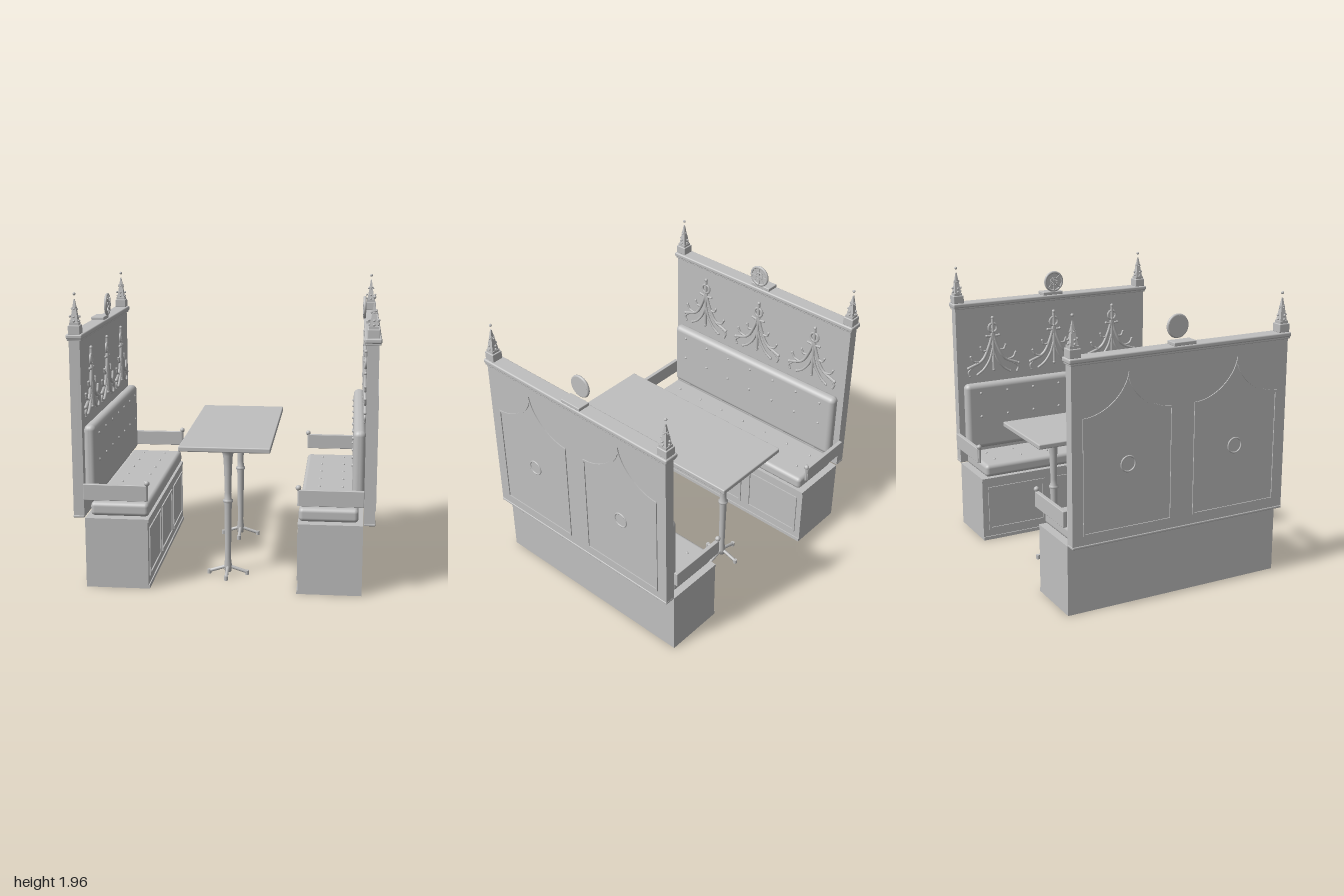
import * as THREE from 'three';
import { RoundedBoxGeometry } from 'three/addons/geometries/RoundedBoxGeometry.js';

const grey = new THREE.MeshStandardMaterial({ color: 0xc0c0c0 });
grey.name = 'plain grey';

function add(parent, name, geometry, x = 0, y = 0, z = 0) {
  const mesh = new THREE.Mesh(geometry, grey);
  mesh.name = name;
  mesh.position.set(x, y, z);
  parent.add(mesh);
  return mesh;
}

// Boxes given by their limits on each axis
function box(parent, name, x0, x1, y0, y1, z0, z1, radius = 0) {
  const size = [x1 - x0, y1 - y0, z1 - z0];
  const g = radius ? new RoundedBoxGeometry(...size, 4, radius) : new THREE.BoxGeometry(...size);
  return add(parent, name, g, (x0 + x1) / 2, (y0 + y1) / 2, (z0 + z1) / 2);
}

// Flat shape drawn in (z, y), extruded along +x
function plate(parent, name, shape, depth, x, y, z) {
  const g = new THREE.ExtrudeGeometry(shape, { depth, bevelEnabled: false, curveSegments: 16 });
  return add(parent, name, g.rotateY(Math.PI / 2), x, y, z);
}

// Carved strand through (z, y) points
function strand(parent, name, points, radius, x) {
  const curve = new THREE.CatmullRomCurve3(points.map(([z, y]) => new THREE.Vector3(x, y, z)));
  add(parent, name, new THREE.TubeGeometry(curve, 20, radius, 6));
  for (const p of [points[0], points[points.length - 1]]) {
    add(parent, name + 'End', new THREE.SphereGeometry(radius * 1.15, 8, 6), x, p[1], p[0]);
  }
}

function rectangle(w, h, path = new THREE.Shape()) {
  path.moveTo(-w, -h).lineTo(w, -h).lineTo(w, h).lineTo(-w, h).closePath();
  return path;
}

// Ogee-topped outline, drawn inwards by inset
function ogee(inset, path = new THREE.Shape()) {
  const w = 0.316 - inset, low = 0.555 + inset, side = 1.314 - inset, tip = 1.572 - inset * 3.5;
  path.moveTo(-w, low).lineTo(w, low).lineTo(w, side);
  path.bezierCurveTo(0.17, side, 0.02, side + 0.12, 0, tip);
  path.bezierCurveTo(-0.02, side + 0.12, -0.17, side, -w, side);
  path.lineTo(-w, low);
  return path;
}

function finial(parent, z) {
  const f = new THREE.Group();
  f.name = 'finial';
  f.position.set(0.947, 1.69, z);
  parent.add(f);
  box(f, 'finialBlock', -0.039, 0.039, 0, 0.058, -0.039, 0.039, 0.005);
  box(f, 'finialStep', -0.03, 0.03, 0.056, 0.075, -0.03, 0.03);
  const spire = new THREE.CylinderGeometry(0.005, 0.036, 0.15, 4).toNonIndexed();
  spire.rotateY(Math.PI / 4).computeVertexNormals();
  add(f, 'finialSpire', spire, 0, 0.148, 0);
  // Rows of small knobs up the four sides
  for (const [y, r, s] of [[0.085, 0.028, 0.008], [0.112, 0.031, 0.008], [0.16, 0.018, 0.006]]) {
    for (let i = 0; i < 4; i++) {
      const a = i * Math.PI / 2;
      add(f, 'finialKnob', new THREE.SphereGeometry(s, 8, 6), r * Math.cos(a), y, r * Math.sin(a));
    }
  }
  add(f, 'finialCollar', new THREE.CylinderGeometry(0.018, 0.018, 0.008, 12), 0, 0.168, 0);
  add(f, 'finialBall', new THREE.SphereGeometry(0.01, 12, 8), 0, 0.256, 0);
}

function medallion(parent) {
  const m = new THREE.Group();
  m.name = 'medallion';
  m.position.set(0.895, 1.795, 0);
  parent.add(m);
  box(m, 'medallionFoot', 0.01, 0.1, -0.105, -0.08, -0.081, 0.081, 0.005);
  const disc = new THREE.CylinderGeometry(0.068, 0.068, 0.014, 40);
  add(m, 'medallionDisc', disc.rotateZ(Math.PI / 2), 0.003);
  add(m, 'medallionRim', new THREE.TorusGeometry(0.068, 0.01, 10, 40).rotateY(Math.PI / 2));
  add(m, 'medallionRing', new THREE.TorusGeometry(0.028, 0.005, 6, 24).rotateY(Math.PI / 2), -0.006);
  for (let i = 0; i < 4; i++) {
    const bar = box(m, 'medallionBar', -0.011, -0.003, -0.064, 0.064, -0.004, 0.004);
    bar.rotation.x = i * Math.PI / 4;
  }
}

// Pointed tracery: ogee arms, inner arms, hooks and a ringed stem
function tracery(parent, zc) {
  const t = new THREE.Group();
  t.name = 'tracery';
  t.position.z = zc;
  parent.add(t);
  const x = 0.905;
  strand(t, 'traceryStem', [[0, 1.17], [0, 1.35], [0, 1.565]], 0.011, x);
  add(t, 'traceryRing', new THREE.TorusGeometry(0.033, 0.009, 6, 20).rotateY(Math.PI / 2), x, 1.49, 0);
  strand(t, 'traceryCross', [[-0.05, 1.43], [0, 1.425], [0.05, 1.43]], 0.009, x);
  for (const s of [-1, 1]) {
    strand(t, 'traceryArm', [[0, 1.46], [s * 0.03, 1.36], [s * 0.09, 1.25], [s * 0.2, 1.2]], 0.011, x);
    strand(t, 'traceryInnerArm', [[0, 1.34], [s * 0.03, 1.25], [s * 0.08, 1.18], [s * 0.13, 1.145]], 0.009, x);
    strand(t, 'traceryHook', [[s * 0.045, 1.32], [s * 0.085, 1.32], [s * 0.1, 1.35]], 0.008, x);
    strand(t, 'traceryHook', [[s * 0.11, 1.235], [s * 0.16, 1.25], [s * 0.18, 1.285]], 0.008, x);
    strand(t, 'traceryTail', [[s * 0.17, 1.205], [s * 0.2, 1.17], [s * 0.19, 1.14]], 0.008, x);
  }
}

function bench() {
  const b = new THREE.Group();
  b.name = 'bench';
  box(b, 'benchBase', 0.493, 0.91, 0, 0.475, -0.785, 0.785);
  box(b, 'baseSkirting', 0.485, 0.5, 0, 0.025, -0.785, 0.785);
  box(b, 'baseTopRail', 0.487, 0.5, 0.455, 0.475, -0.785, 0.785);

  // Framed panels on the base
  for (const z of [-0.515, 0, 0.515]) {
    const frame = rectangle(0.225, 0.165);
    frame.holes.push(rectangle(0.208, 0.148, new THREE.Path()));
    plate(b, 'baseFrame', frame, 0.009, 0.485, 0.24, z);
  }

  // Cushions with buttons
  box(b, 'seatCushion', 0.492, 0.88, 0.48, 0.572, -0.75, 0.75, 0.028);
  box(b, 'backCushion', 0.835, 0.915, 0.59, 1.09, -0.75, 0.75, 0.036);
  for (let i = -3; i <= 3; i++) {
    const button = () => new THREE.SphereGeometry(0.01, 10, 8);
    for (const x of [0.61, 0.77]) add(b, 'seatButton', button(), x, 0.572, i * 0.212);
    for (const y of [0.84, 1.02]) add(b, 'backButton', button(), 0.835, y, i * 0.212);
  }

  // Tall back and its mouldings
  box(b, 'backPanel', 0.913, 0.984, 0.48, 1.655, -0.785, 0.785);
  box(b, 'backBottomRail', 0.913, 0.988, 0.476, 0.494, -0.787, 0.787, 0.006);
  box(b, 'corniceLower', 0.9, 0.995, 1.648, 0.006 + 1.66, -0.795, 0.795, 0.005);
  box(b, 'cornice', 0.893, 1, 1.66, 1.692, -0.803, 0.803, 0.01);

  // Ogee mouldings and roundels on the outer face
  for (const z of [-0.395, 0.395]) {
    const outline = ogee(0);
    outline.holes.push(ogee(0.012, new THREE.Path()));
    plate(b, 'ogeeMoulding', outline, 0.007, 0.984, 0, z);
    add(b, 'roundel', new THREE.TorusGeometry(0.05, 0.006, 8, 32).rotateY(Math.PI / 2), 0.984, 0.98, z);
  }
  for (const z of [-0.5, 0, 0.5]) tracery(b, z);

  // Armrests
  for (const s of [-1, 1]) {
    const z = s * 0.8;
    box(b, 'armrest', 0.493, 0.912, 0.605, 0.712, z - 0.014, z + 0.014, 0.004);
    add(b, 'armPost', new THREE.CylinderGeometry(0.01, 0.01, 0.11, 10), 0.495, 0.66, z);
    add(b, 'armKnob', new THREE.SphereGeometry(0.018, 14, 10), 0.492, 0.724, z);
    finial(b, s * 0.755);
  }
  medallion(b);
  return b;
}

function table() {
  const t = new THREE.Group();
  t.name = 'table';
  box(t, 'tableTop', -0.302, 0.302, 0.915, 0.95, -0.69, 0.69, 0.008);
  const profile = [[0, 0.02], [0.022, 0.02], [0.027, 0.06], [0.02, 0.12], [0.023, 0.3], [0.026, 0.51],
    [0.034, 0.515], [0.034, 0.53], [0.025, 0.535], [0.022, 0.58], [0.027, 0.75], [0.033, 0.84],
    [0.045, 0.875], [0.07, 0.9], [0.11, 0.916]].map(([r, y]) => new THREE.Vector2(r, y));
  for (const z of [-0.445, 0.445]) {
    add(t, 'pedestal', new THREE.LatheGeometry(profile, 24), 0, 0, z);
    // Four splayed feet
    for (let i = 0; i < 4; i++) {
      const path = new THREE.QuadraticBezierCurve3(
        new THREE.Vector3(0, 0.06, 0), new THREE.Vector3(0.05, 0.045, 0), new THREE.Vector3(0.132, 0.019, 0));
      const foot = add(t, 'foot', new THREE.TubeGeometry(path, 8, 0.012, 8), 0, 0, z);
      foot.rotation.y = i * Math.PI / 2;
      const pad = new THREE.CylinderGeometry(0.014, 0.014, 0.03, 12).translate(0.13, 0.016, 0);
      add(t, 'footPad', pad, 0, 0, z).rotation.y = i * Math.PI / 2;
    }
  }
  return t;
}

export function createModel() {
  const model = new THREE.Group();
  model.name = 'diningBooth';
  const left = bench(), right = bench();
  left.name = 'leftBench';
  right.name = 'rightBench';
  right.rotation.y = Math.PI;
  model.add(left, right, table());
  return model;
}
